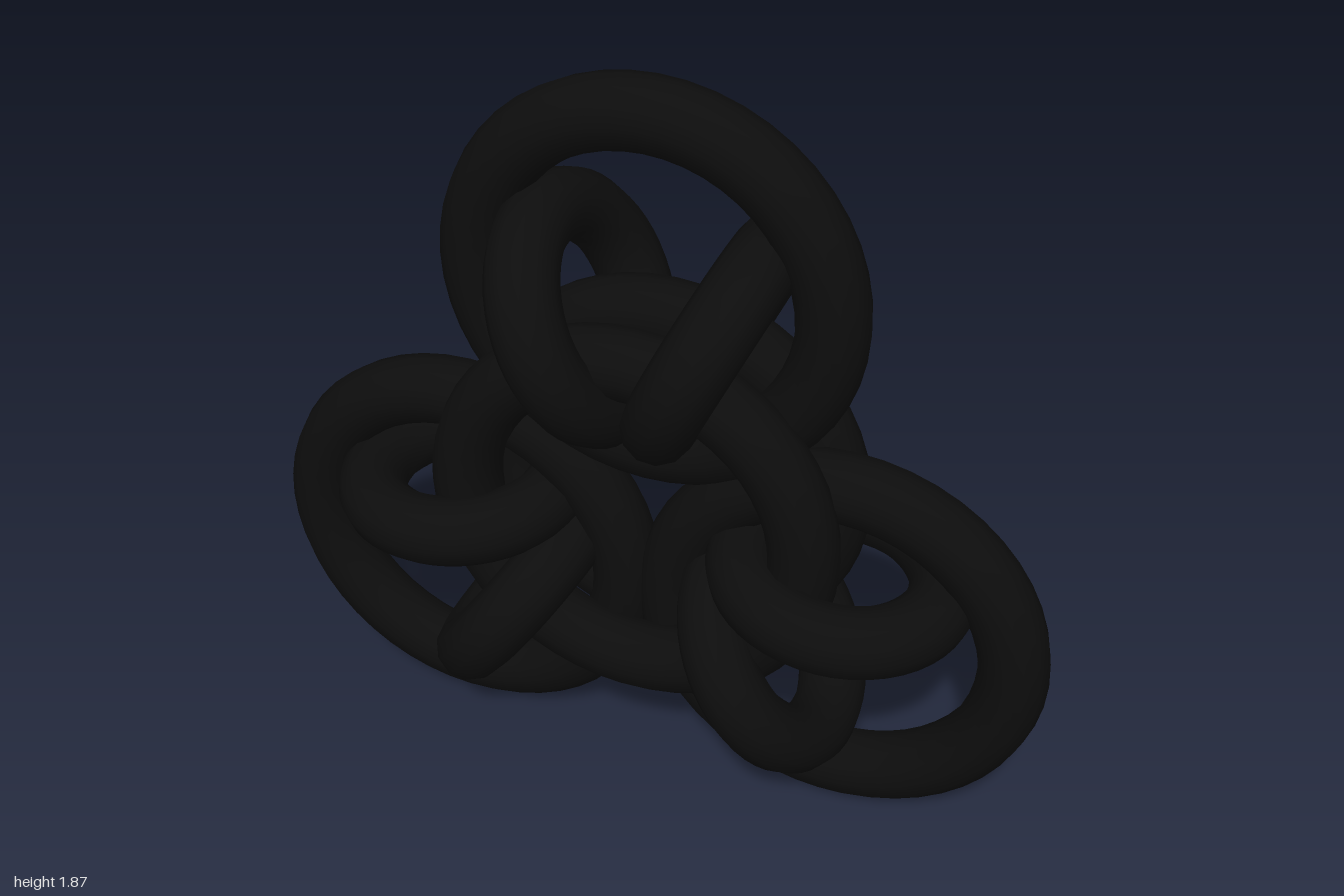
import * as THREE from 'three';

const TUBE = 0.085;
const LARGE = 0.427; // centre-line radius of the big rings
const SMALL = 0.24; // centre-line radius of the connecting rings
const CENTRE_Y = 0.7935;

export function createModel() {
  const model = new THREE.Group();
  model.name = 'chainmailTrefoil';
  const metal = new THREE.MeshStandardMaterial({ color: 0x0d0d0d });

  const largeGeometry = new THREE.TorusGeometry(LARGE, TUBE, 12, 48);
  const smallGeometry = new THREE.TorusGeometry(SMALL, TUBE, 12, 48);
  smallGeometry.rotateY(Math.PI / 2); // stands edge-on to the front

  const addRing = (parent, name, geometry, x, y, z = 0, tilt = 0) => {
    const ring = new THREE.Mesh(geometry, metal);
    ring.name = name;
    ring.position.set(x, y, z);
    ring.rotation.z = tilt;
    parent.add(ring);
  };

  // Doubled ring in the middle
  addRing(model, 'centreRingFront', largeGeometry, 0, CENTRE_Y, 0.115);
  addRing(model, 'centreRingBack', largeGeometry, 0, CENTRE_Y, -0.115);

  // Three petals: an outer ring and two connecting rings each
  for (let i = 0; i < 3; i++) {
    const petal = new THREE.Group();
    petal.name = `petal${i + 1}`;
    petal.position.y = CENTRE_Y;
    petal.rotation.z = (i * Math.PI * 2) / 3;
    addRing(petal, 'outerRing', largeGeometry, 0, 0.563);
    for (const side of [-1, 1]) {
      const name = side > 0 ? 'leftConnectingRing' : 'rightConnectingRing';
      addRing(petal, name, smallGeometry, side * 0.16, 0.472, 0, -side * THREE.MathUtils.degToRad(25));
    }
    model.add(petal);
  }
  return model;
}
